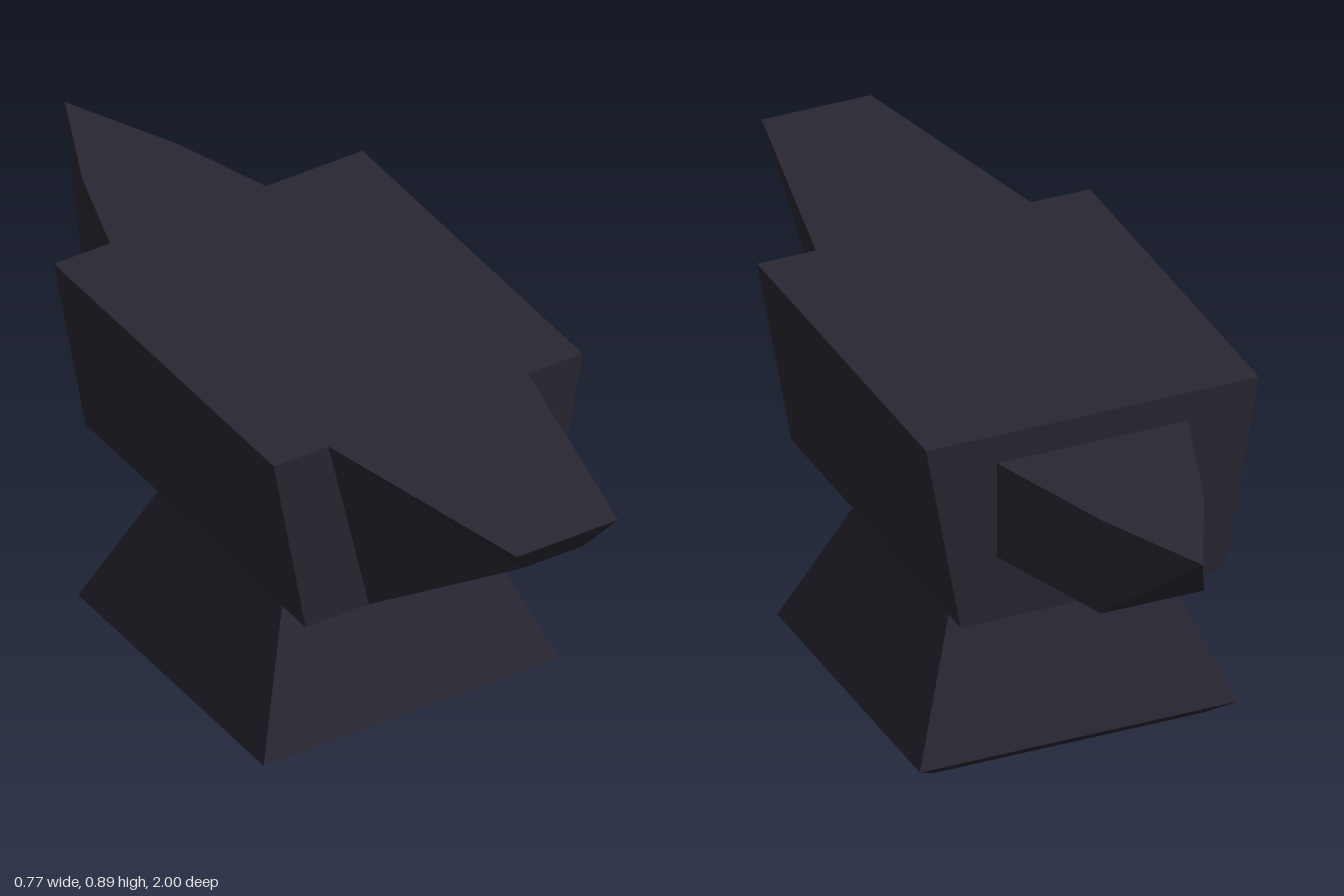
import * as THREE from 'three';

// Skins four-cornered sections, listed counter-clockwise as seen from the far end
function loft(rings) {
  const pos = [];
  const tri = (a, b, c) => {
    const area = new THREE.Triangle(a, b, c).getArea();
    if (area > 1e-6) for (const p of [a, b, c]) pos.push(p.x, p.y, p.z);
  };
  const quad = (a, b, c, d) => { tri(a, b, c); tri(a, c, d); };
  for (let k = 0; k < rings.length - 1; k++) {
    const r = rings[k], s = rings[k + 1];
    for (let i = 0; i < 4; i++) {
      const j = (i + 1) % 4;
      quad(r[i], r[j], s[j], s[i]);
    }
  }
  const first = rings[0], last = rings[rings.length - 1];
  quad(first[3], first[2], first[1], first[0]);
  quad(...last);
  const geometry = new THREE.BufferGeometry();
  geometry.setAttribute('position', new THREE.Float32BufferAttribute(pos, 3));
  geometry.computeVertexNormals();
  return geometry;
}

const v = (x, y, z) => new THREE.Vector3(x, y, z);

// Horizontal section: height, half width, front z, back z
const level = ([y, x, front, back]) =>
  [v(x, y, front), v(x, y, back), v(-x, y, back), v(-x, y, front)];

// Upright section: bottom and top edges given as [half width, y, z]
const upright = (dir, [bx, by, bz], [tx, ty, tz]) => [
  v(-dir * bx, by, bz), v(dir * bx, by, bz), v(dir * tx, ty, tz), v(-dir * tx, ty, tz),
];

export function createModel() {
  const group = new THREE.Group();
  const iron = new THREE.MeshStandardMaterial({ color: 0x292833 });
  iron.name = 'darkIron';
  iron.flatShading = true;

  const add = (name, rings) => {
    const mesh = new THREE.Mesh(loft(rings), iron);
    mesh.name = name;
    group.add(mesh);
  };

  // Bevelled foot rising into the tapered waist
  add('foot', [
    [0, 0.2, 0.22, -0.2],
    [0.02, 0.312, 0.32, -0.305],
    [0.063, 0.37, 0.378, -0.36],
    [0.415, 0.225, 0.235, -0.215],
  ].map(level));

  // Main block, flaring towards the working face
  add('body', [
    [0.415, 0.225, 0.235, -0.215],
    [0.44, 0.307, 0.445, -0.43],
    [0.89, 0.387, 0.445, -0.43],
  ].map(level));

  // Blunt front nose, sloping up underneath
  add('nose', [
    upright(1, [0.148, 0.44, 0.445], [0.25, 0.89, 0.445]),
    upright(1, [0.075, 0.805, 0.94], [0.127, 0.89, 1]),
  ]);

  // Pointed back horn
  add('horn', [
    upright(-1, [0.222, 0.593, -0.43], [0.222, 0.822, -0.43]),
    upright(-1, [0.12, 0.593, -0.74], [0.12, 0.822, -0.74]),
    upright(-1, [0, 0.82, -1], [0, 0.82, -1]),
  ]);

  return group;
}
